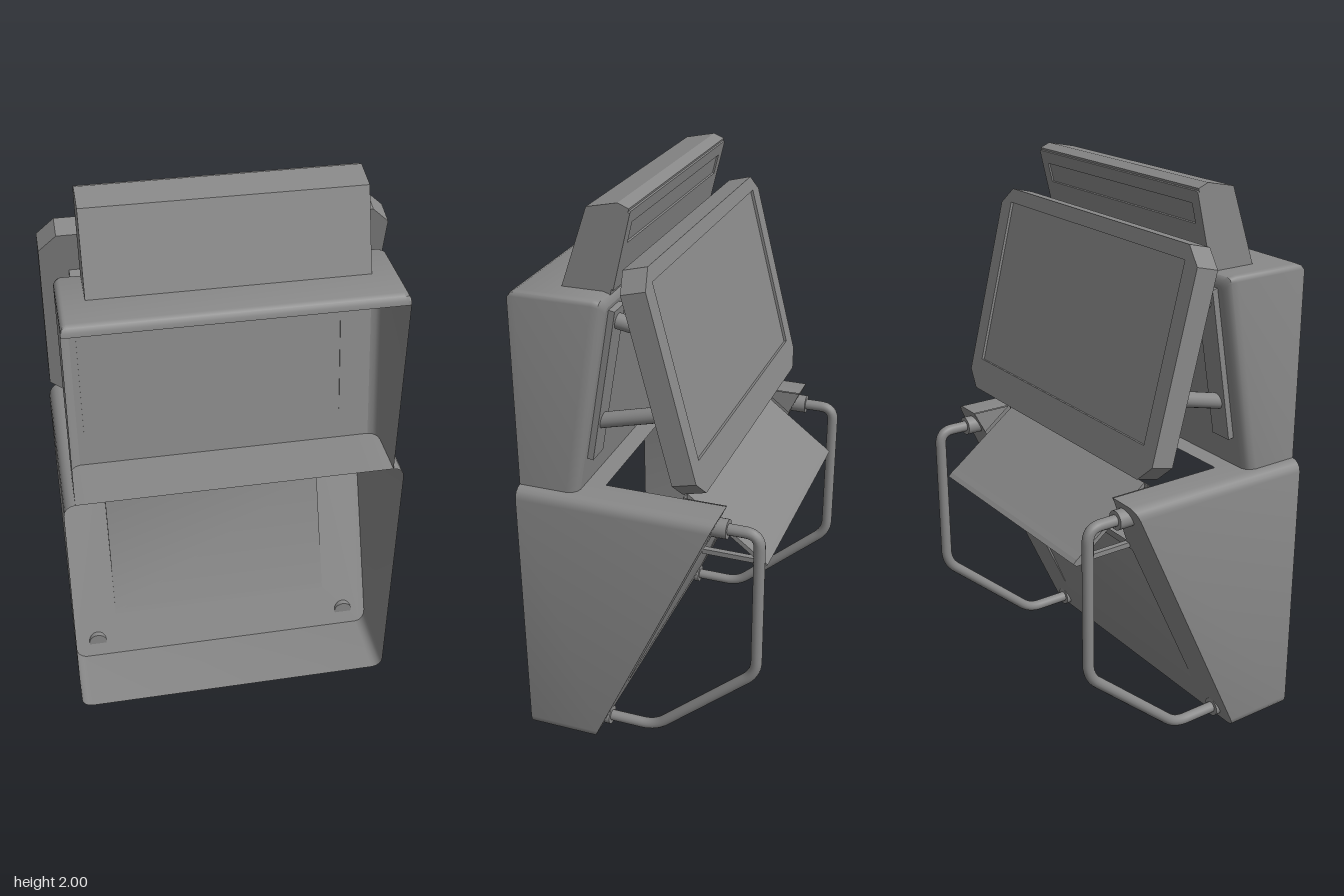
import * as THREE from 'three';
import { toCreasedNormals } from 'three/addons/utils/BufferGeometryUtils.js';

const mat = new THREE.MeshStandardMaterial({ color: 0x888888, side: THREE.DoubleSide });
const V = (x, y, z) => new THREE.Vector3(x, y, z);
const shapeOf = (pts) => new THREE.Shape(pts.map(([x, y]) => new THREE.Vector2(x, y)));

function add(parent, name, geo, x = 0, y = 0, z = 0, rx = 0) {
  const m = new THREE.Mesh(geo, mat);
  m.name = name;
  m.position.set(x, y, z);
  m.rotation.x = rx;
  parent.add(m);
  return m;
}

// Surface through a series of point rings, closed around or left open
function loft(rings, closed) {
  const n = rings[0].length, idx = [];
  for (let r = 0; r < rings.length - 1; r++)
    for (let i = 0; i < (closed ? n : n - 1); i++) {
      const a = r * n + i, b = r * n + (i + 1) % n;
      idx.push(a, a + n, b, b, a + n, b + n);
    }
  const g = new THREE.BufferGeometry().setFromPoints(rings.flat());
  g.setIndex(idx);
  return toCreasedNormals(g, 0.6);
}

// Folded sheet: [z, y] profile spanning x = -hw..hw
const sheet = (profile, hw) =>
  loft([hw, -hw].map((x) => profile.map(([z, y]) => V(x, y, z))), false);

// Solid bar: closed [z, y] profile spanning x = -hw..hw
const solid = (profile, hw) =>
  new THREE.ExtrudeGeometry(shapeOf(profile), { depth: hw * 2, bevelEnabled: false })
    .rotateY(-Math.PI / 2).translate(hw, 0, 0);

// Flat shape bent onto a slanted plane z = f(y)
function slanted(shape, f) {
  const g = new THREE.ShapeGeometry(shape), p = g.attributes.position;
  for (let i = 0; i < p.count; i++) p.setZ(i, f(p.getY(i)));
  g.computeVertexNormals();
  return g;
}

// Flat side piece at a given x, from a [z, y] outline
const sidePiece = (pts, x) =>
  new THREE.ShapeGeometry(shapeOf(pts)).rotateY(-Math.PI / 2).translate(x, 0, 0);

// Rounded corner points around (cx, cy)
const corner = (cx, cy, r, start) => [0, 1, 2, 3, 4].map((i) => {
  const a = start + (i * Math.PI) / 8;
  return [cx + r * Math.cos(a), cy + r * Math.sin(a)];
});

// Rectangle with cut corners
const cutRect = (w, h, c) => shapeOf([[-w + c, -h], [w - c, -h], [w, -h + c], [w, h - c],
  [w - c, h], [-w + c, h], [-w, h - c], [-w, -h + c]]);

// Cut-corner rectangle with a window from y = lo to y = hi
function frame(w, h, c, iw, lo, hi, depth) {
  const s = cutRect(w, h, c);
  s.holes.push(shapeOf([[-iw, lo], [iw, lo], [iw, hi], [-iw, hi]]));
  return new THREE.ExtrudeGeometry(s, { depth, bevelEnabled: false });
}

function rod(parent, name, a, b, r) {
  const d = b.clone().sub(a);
  const m = add(parent, name, new THREE.CylinderGeometry(r, r, d.length(), 20));
  m.position.copy(a).addScaledVector(d, 0.5);
  m.quaternion.setFromUnitVectors(V(0, 1, 0), d.normalize());
}

const FRONT = 0.43;

function lowerCabinet(root) {
  const g = new THREE.Group();
  g.name = 'lowerCabinet';
  root.add(g);
  const zBack = (y) => 0.18 - 0.4554 * y, top = 1.01, r = 0.04, w = 0.59;
  const right = [...corner(w - r, r, r, -Math.PI / 2), ...corner(w - r, top - r, r, 0)];
  const left = right.map(([x, y]) => [-x, y]).reverse();

  // open-fronted walls, with a wide notch cut into the top
  const notch = [[0.46, top], [0.46, top], [-0.46, top], [-0.46, top]];
  const ring = [...right, ...notch, ...left];
  const back = ring.map(([x, y], i) => {
    const k = i - right.length;
    return V(x, y, k === 1 || k === 2 ? 0.15 : zBack(y));
  });
  add(g, 'lowerWalls', loft([ring.map(([x, y]) => V(x, y, FRONT)), back], true));

  // slanted panel with notch and recess opening
  const panel = shapeOf([...right, [0.46, top], [0.41, 0.81], [-0.41, 0.81], [-0.46, top], ...left]);
  panel.holes.push(shapeOf([[-0.42, 0.15], [0.42, 0.15], [0.42, 0.77], [-0.42, 0.77]]));
  add(g, 'slantedPanel', slanted(panel, zBack));

  // shallow recess that deepens towards its flat ceiling
  const recess = [[zBack(0.15), 0.15], [-0.075, 0.6], [-0.075, 0.77], [zBack(0.77), 0.77]];
  add(g, 'recess', sheet(recess, 0.42));
  for (const s of [-1, 1]) {
    add(g, 'recessSide', sidePiece(recess, 0.42 * s));
    add(g, 'notchSide', sidePiece([[-0.13, top], [-0.28, top], [-0.24, 0.924]], 0.455 * s));
    add(g, 'shelfBracket', new THREE.BoxGeometry(0.02, 0.018, 0.2), 0.41 * s, 0.792, -0.28);
  }

  // sloping shelf with a rolled lower edge
  add(g, 'shelf', solid([[-0.13, 1.015], [-0.385, 0.82], [-0.405, 0.806], [-0.418, 0.793],
    [-0.405, 0.782], [-0.365, 0.782], [-0.365, 0.79], [-0.385, 0.8], [-0.13, 0.997]], 0.43));
  add(g, 'shelfBackstop', new THREE.BoxGeometry(0.9, 0.09, 0.005), 0, 0.965, -0.125);
}

function upperCabinet(root) {
  const g = new THREE.Group();
  g.name = 'upperCabinet';
  root.add(g);
  const y0 = 1.01, zBack = (y) => 0.22 - 0.174 * (y - y0);
  const right = [[0.55, y0], ...corner(0.53, 1.69, 0.02, 0)];
  const outline = [...right, ...right.map(([x, y]) => [-x, y]).reverse()];
  const inset = (t) => outline.map(([x, y]) => [x * (1 - t / 0.55), y0 + (y - y0) * (1 - t / 0.7)]);
  const at = (pts, d) => pts.map(([x, y]) => V(x, y, zBack(y) + d));
  // the top edge rolls over at the front
  const roll = [[0.43, 1.675], [0.428, 1.69], [0.42, 1.703], [0.405, 1.71]]
    .map(([z, cap]) => outline.map(([x, y]) => V(x, Math.min(y, cap), z)));
  add(g, 'upperWalls', loft([...roll, at(outline, 0.04),
    at(inset(0.006), 0.018), at(inset(0.018), 0.006), at(inset(0.035), 0)], false));
  add(g, 'upperPanel', slanted(shapeOf(inset(0.035)), zBack));

  // header box on top
  add(g, 'headerBox', solid([[0.283, 1.7], [0.185, 1.978], [0.08, 2.0], [0.043, 1.985], [0.113, 1.7]], 0.46));
  add(g, 'headerFrame', frame(0.46, 0.135, 0.005, 0.42, 0.02, 0.09, 0.012), 0, 1.845, 0.071, -0.241);
}

function screen(root) {
  const g = new THREE.Group();
  g.name = 'screen';
  g.position.set(0, 1.45, -0.095);
  g.rotation.x = 0.25;
  root.add(g);
  const slab = new THREE.ExtrudeGeometry(cutRect(0.585, 0.385, 0.06), { depth: 0.075, bevelEnabled: false });
  add(g, 'screenBody', slab, 0, 0, -0.0325);
  add(g, 'screenBezel', frame(0.585, 0.385, 0.06, 0.52, -0.27, 0.335, 0.01), 0, 0, -0.0425);
  for (const s of [-1, 1]) {
    add(g, 'screenPlate', new THREE.BoxGeometry(0.08, 0.42, 0.035), 0.45 * s, 0.02, 0.058);
    // arms and plates joining the screen to the upper cabinet
    const x = 0.45 * s;
    rod(root, 'upperArm', V(x, 1.615, 0.105), V(x, 1.595, -0.01), 0.027);
    rod(root, 'lowerArm', V(x, 1.25, 0.165), V(x, 1.31, -0.07), 0.027);
    add(root, 'wallPlate', new THREE.BoxGeometry(0.085, 0.55, 0.025), x, 1.39, 0.145, -0.172);
  }
}

function handle(root, x) {
  const g = new THREE.Group();
  g.name = 'handle';
  root.add(g);
  // straight runs with rounded bends
  const pts = [[0.155, 0.055], [-0.03, 0.055], [-0.408, 0.39], [-0.408, 0.95], [-0.25, 0.95]]
    .map(([z, y]) => V(x, y, z));
  const path = new THREE.CurvePath();
  let from = pts[0];
  for (let i = 1; i < pts.length - 1; i++) {
    const p = pts[i];
    const inn = p.clone().add(pts[i - 1].clone().sub(p).setLength(0.05));
    const out = p.clone().add(pts[i + 1].clone().sub(p).setLength(0.05));
    path.add(new THREE.LineCurve3(from, inn));
    path.add(new THREE.QuadraticBezierCurve3(inn, p, out));
    from = out;
  }
  path.add(new THREE.LineCurve3(from, pts[pts.length - 1]));
  add(g, 'handleBar', new THREE.TubeGeometry(path, 120, 0.02, 14));
  // mounting flanges
  rod(g, 'upperFlange', V(x, 0.95, -0.24), V(x, 0.95, -0.3), 0.034);
  rod(g, 'lowerFlange', V(x, 0.055, 0.16), V(x, 0.055, 0.14), 0.034);
}

export function createModel() {
  const root = new THREE.Group();
  root.name = 'kiosk';
  lowerCabinet(root);
  upperCabinet(root);
  screen(root);
  for (const x of [-0.5, 0.5]) handle(root, x);
  return root;
}
